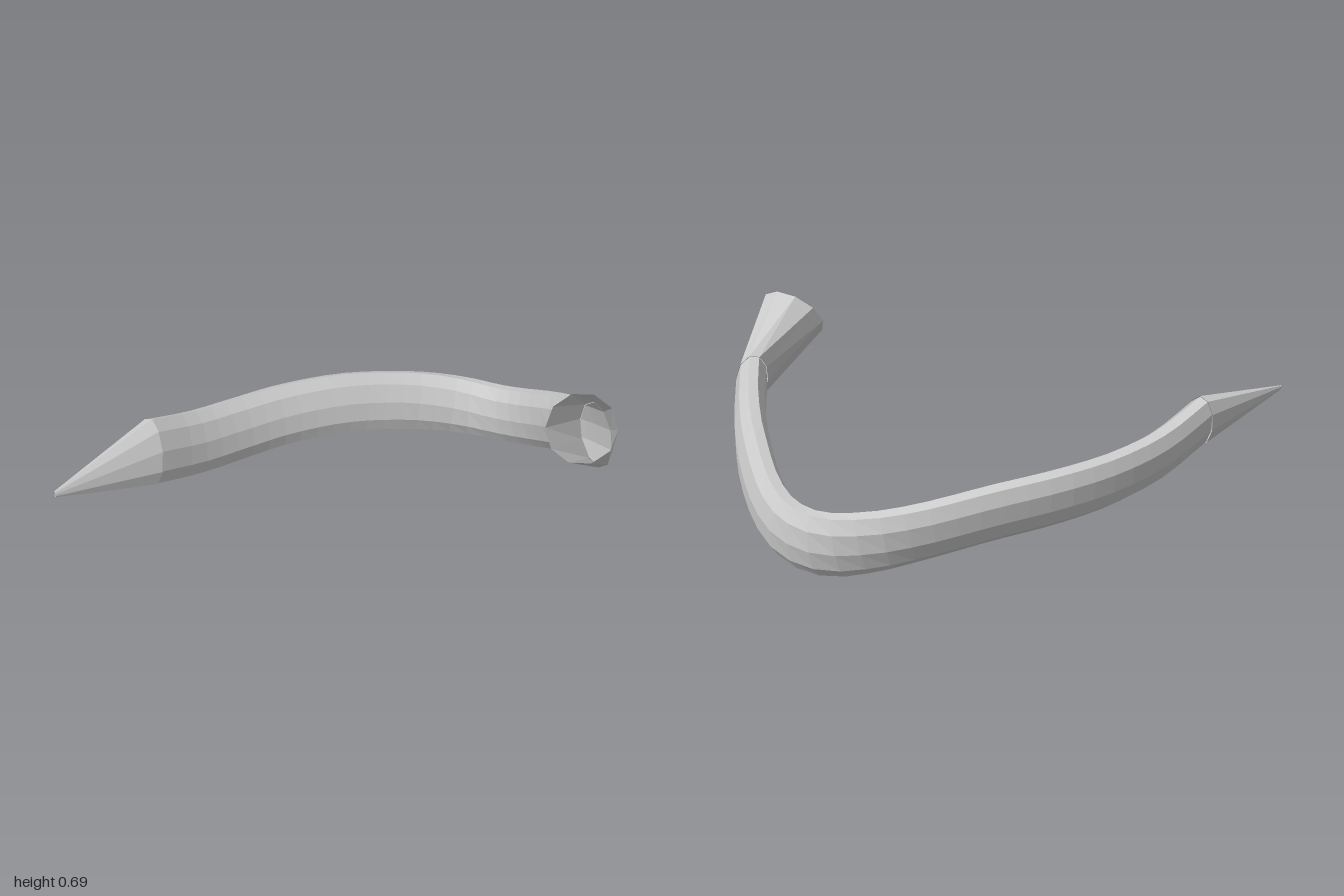
import * as THREE from 'three';

const SIDES = 10;
const V = (x, y, z) => new THREE.Vector3(x, y, z);

// One oval cross-section: a is the half thickness, b the half height,
// and tilt leans its top outward from the bend.
function ring(center, tangent, tilt, a, b) {
  const t = tangent.clone().normalize();
  const side = V(0, 1, 0).cross(t).normalize();
  const up = t.clone().cross(side);
  const top = up.clone().multiplyScalar(Math.cos(tilt)).addScaledVector(side, Math.sin(tilt));
  const out = side.clone().multiplyScalar(Math.cos(tilt)).addScaledVector(up, -Math.sin(tilt));
  return Array.from({ length: SIDES }, (_, i) => {
    const phi = ((i + 0.5) / SIDES) * Math.PI * 2;
    return center.clone()
      .addScaledVector(top, b * Math.cos(phi))
      .addScaledVector(out, a * Math.sin(phi));
  });
}

// Skin joining consecutive cross-sections
function loft(name, rings) {
  const index = [];
  for (let r = 0; r < rings.length - 1; r++) {
    for (let i = 0; i < SIDES; i++) {
      const j = (i + 1) % SIDES;
      const p = r * SIDES + i, q = r * SIDES + j;
      index.push(p, p + SIDES, q, q, p + SIDES, q + SIDES);
    }
  }
  const geometry = new THREE.BufferGeometry().setFromPoints(rings.flat());
  geometry.setIndex(index);
  geometry.computeVertexNormals();
  const mesh = new THREE.Mesh(geometry, new THREE.MeshStandardMaterial({
    color: 0xcccccc, flatShading: true, side: THREE.DoubleSide,
  }));
  mesh.name = name;
  return mesh;
}

export function createModel() {
  const group = new THREE.Group();
  group.name = 'curvedHook';

  // Centre line from the pointed end round the bend to the socket
  const path = new THREE.CatmullRomCurve3([
    V(-0.6, 0.33, -0.33), V(-0.4, 0.265, -0.42), V(-0.2, 0.235, -0.488),
    V(0, 0.222, -0.53), V(0.25, 0.203, -0.545), V(0.45, 0.172, -0.537),
    V(0.63, 0.142, -0.505), V(0.78, 0.122, -0.435), V(0.87, 0.13, -0.325),
    V(0.915, 0.17, -0.2), V(0.933, 0.262, 0), V(0.92, 0.335, 0.16), V(0.885, 0.413, 0.335),
  ]);
  const tiltAt = u => THREE.MathUtils.lerp(0.35, -0.17, THREE.MathUtils.smoothstep(u, 0.45, 0.85));
  const A = 0.056, B = 0.125;

  // Curved shaft
  const steps = 30, shaft = [];
  for (let k = 0; k <= steps; k++) {
    const u = k / steps;
    shaft.push(ring(path.getPointAt(u), path.getTangentAt(u), tiltAt(u), A, B));
  }
  group.add(loft('shaft', shaft));

  // Pointed tip
  const start = path.getPoint(0), startDir = path.getTangent(0);
  group.add(loft('tip', [
    ring(V(-0.998, 0.35, -0.18), V(0.4, -0.02, -0.15), tiltAt(0), 0.005, 0.011),
    ring(start, startDir, tiltAt(0), A * 1.06, B * 1.02),
  ]));

  // Flared open socket, oval at the shaft and round at the mouth
  const mouth = V(0.69, 0.595, 0.51), end = path.getPoint(1);
  group.add(loft('socket', [
    ring(end, path.getTangent(1), tiltAt(1), A * 1.04, B * 1.02),
    ring(mouth, V(-1, 1, 1), tiltAt(1), 0.124, 0.124),
  ]));
  return group;
}
